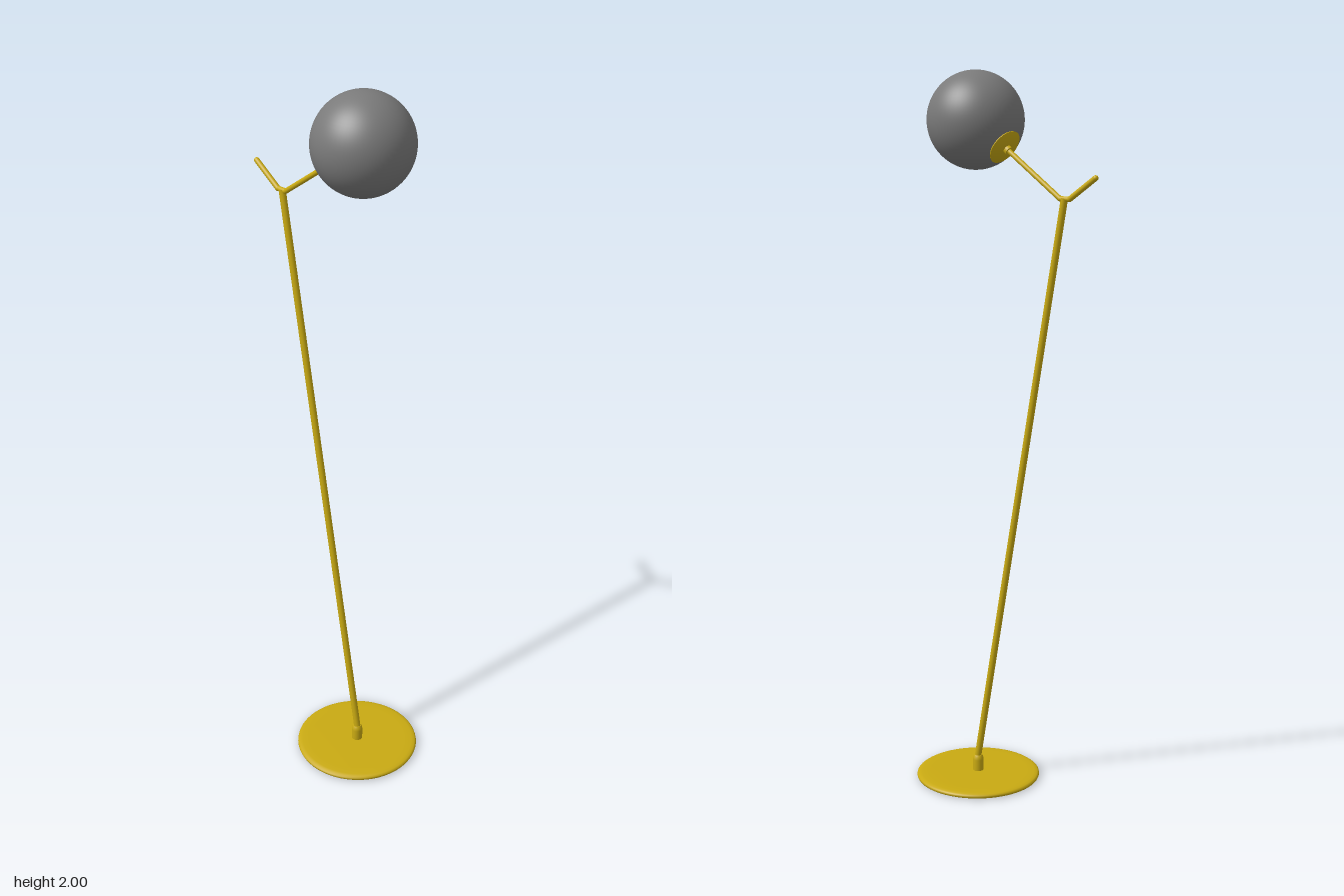
import * as THREE from 'three';

const brass = new THREE.MeshStandardMaterial({ color: 0xc9aa12 });
const globeGrey = new THREE.MeshStandardMaterial({ color: 0x7a7a7a });

const AXIS_Z = 0.117; // base and globe share this vertical axis
const GLOBE_R = 0.132;
const at = (y, z) => new THREE.Vector3(0, y, z);

function add(parent, name, geometry, material = brass) {
  const mesh = new THREE.Mesh(geometry, material);
  mesh.name = name;
  parent.add(mesh);
  return mesh;
}

// Solid of revolution; each corner run is split so hard edges stay sharp
function lathe(points, segments = 48) {
  return new THREE.LatheGeometry(points.map(([r, y]) => new THREE.Vector2(r, y)), segments);
}

// Round rod between two points, closed by flat ends
function rod(parent, name, from, to, radius) {
  const dir = to.clone().sub(from);
  const mesh = add(parent, name, new THREE.CylinderGeometry(radius, radius, dir.length(), 20));
  mesh.position.copy(from).add(to).multiplyScalar(0.5);
  mesh.quaternion.setFromUnitVectors(new THREE.Vector3(0, 1, 0), dir.normalize());
  return mesh;
}

export function createModel() {
  const lamp = new THREE.Group();
  lamp.name = 'floorLamp';

  // Thin round foot with a softly rounded rim
  const base = add(lamp, 'base', lathe([
    [0, 0], [0.171, 0], [0.171, 0], [0.175, 0.002], [0.177, 0.006],
    [0.176, 0.01], [0.172, 0.013], [0.163, 0.0148], [0.14, 0.016], [0, 0.016],
  ], 72));
  base.position.z = AXIS_Z;

  // Collar holding the pole
  const collar = add(lamp, 'baseCollar', lathe([
    [0.0155, 0.014], [0.0155, 0.048], [0.0145, 0.056], [0.011, 0.062], [0.011, 0.062], [0, 0.062],
  ], 28));
  collar.position.z = AXIS_Z;

  // Leaning pole
  rod(lamp, 'pole', at(0.045, 0.12), at(1.668, -0.188), 0.0095);

  // Bent arm: up to the globe in front, short handle behind
  const centre = at(1.868, AXIS_Z);
  const frontBend = at(1.666, -0.174);
  const backBend = at(1.666, -0.205);
  const outward = frontBend.clone().sub(centre).normalize();
  const socket = centre.clone().addScaledVector(outward, GLOBE_R - 0.004);
  const tip = at(1.721, -0.288);
  rod(lamp, 'frontArm', socket, frontBend, 0.007);
  rod(lamp, 'armBridge', frontBend, backBend, 0.007);
  rod(lamp, 'rearHandle', backBend, tip, 0.0075);
  for (const [name, point, r] of [['frontBend', frontBend, 0.007], ['rearBend', backBend, 0.0075], ['handleTip', tip, 0.0075]]) {
    add(lamp, name, new THREE.SphereGeometry(r, 20, 12)).position.copy(point);
  }

  // Globe shade
  add(lamp, 'globe', new THREE.SphereGeometry(GLOBE_R, 64, 40), globeGrey).position.copy(centre);

  // Dished holder hugging the globe, with a small ferrule around the arm
  const holder = new THREE.Group();
  holder.name = 'globeHolder';
  holder.position.copy(centre);
  holder.quaternion.setFromUnitVectors(new THREE.Vector3(0, 1, 0), outward);
  const dish = [];
  const shellR = GLOBE_R + 0.003;
  for (let i = 0; i <= 8; i++) {
    const a = 0.38 * (1 - i / 8);
    dish.push([shellR * Math.sin(a), shellR * Math.cos(a)]);
  }
  const rim = [GLOBE_R * 0.99 * Math.sin(0.38), GLOBE_R * 0.99 * Math.cos(0.38)];
  add(holder, 'holderDish', lathe([rim, dish[0], ...dish]));
  add(holder, 'holderFerrule', lathe([
    [0.012, GLOBE_R], [0.012, GLOBE_R + 0.012], [0.012, GLOBE_R + 0.012], [0, GLOBE_R + 0.012],
  ], 24));
  lamp.add(holder);

  return lamp;
}
